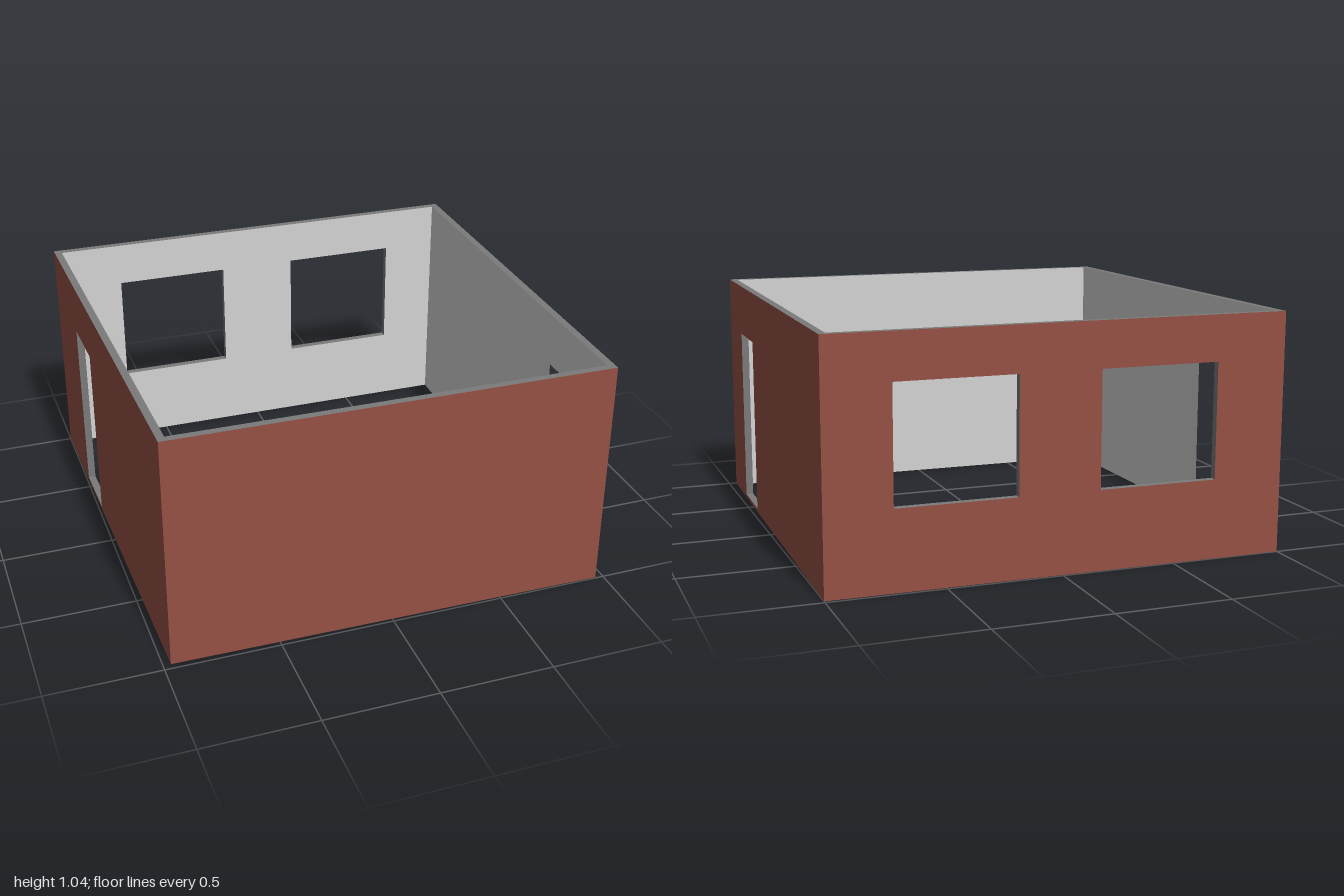
import * as THREE from 'three';

const HEIGHT = 1.045;
const THICKNESS = 0.033;

// Slightly skewed footprint, outer corners as [x, z]
const FRONT_LEFT = [-0.967, 0.972];
const FRONT_RIGHT = [0.965, 0.995];
const BACK_RIGHT = [1, -0.985];
const BACK_LEFT = [-1, -0.998];

// Openings as [start, end, bottom, top], start and end measured along the wall
const WALLS = [
  { name: 'frontWall', from: FRONT_LEFT, to: FRONT_RIGHT, openings: [] },
  { name: 'rightWallWithDoor', from: FRONT_RIGHT, to: BACK_RIGHT, openings: [[0.295, 0.585, 0.015, 0.813]] },
  {
    name: 'backWallWithWindows', from: BACK_RIGHT, to: BACK_LEFT,
    openings: [[0.285, 0.808, 0.345, 0.847], [1.165, 1.688, 0.345, 0.847]],
  },
  { name: 'leftWallWithDoor', from: BACK_LEFT, to: FRONT_LEFT, openings: [[0.435, 0.72, 0.015, 0.813]] },
];

function rectangle(target, x0, x1, y0, y1) {
  target.moveTo(x0, y0);
  target.lineTo(x1, y0);
  target.lineTo(x1, y1);
  target.lineTo(x0, y1);
  target.closePath();
  return target;
}

function wallGeometry(length, openings) {
  const shape = rectangle(new THREE.Shape(), 0, length, 0, HEIGHT);
  for (const o of openings) shape.holes.push(rectangle(new THREE.Path(), ...o));
  const geometry = new THREE.ExtrudeGeometry(shape, { depth: THICKNESS, bevelEnabled: false });

  // Mitre both ends by pulling in the inner corners
  const p = geometry.attributes.position;
  for (let i = 0; i < p.count; i++) {
    if (p.getZ(i) > 1e-5) continue;
    if (p.getX(i) < 1e-5) p.setX(i, THICKNESS);
    else if (p.getX(i) > length - 1e-5) p.setX(i, length - THICKNESS);
  }
  geometry.computeVertexNormals();

  // Faces: inner side, outer side, then rims and opening reveals
  const [caps, sides] = geometry.groups;
  const half = caps.count / 2;
  geometry.clearGroups();
  geometry.addGroup(caps.start, half, 0);
  geometry.addGroup(caps.start + half, half, 1);
  geometry.addGroup(sides.start, sides.count, 2);
  return geometry;
}

export function createModel() {
  const plaster = new THREE.MeshStandardMaterial({ color: 0xd3d3d3 });
  plaster.name = 'light grey plaster';
  const brick = new THREE.MeshStandardMaterial({ color: 0x955144 });
  brick.name = 'brick red';
  const edge = new THREE.MeshStandardMaterial({ color: 0x7a7a7a });
  edge.name = 'mid grey edge';

  const room = new THREE.Group();
  room.name = 'room';
  for (const { name, from, to, openings } of WALLS) {
    const dx = to[0] - from[0];
    const dz = to[1] - from[1];
    const length = Math.hypot(dx, dz);
    const wall = new THREE.Mesh(wallGeometry(length, openings), [plaster, brick, edge]);
    wall.name = name;
    // Outer face lies on the footprint line, thickness goes inwards
    wall.position.set(from[0] + (dz / length) * THICKNESS, 0, from[1] - (dx / length) * THICKNESS);
    wall.rotation.y = Math.atan2(-dz, dx);
    room.add(wall);
  }
  return room;
}
